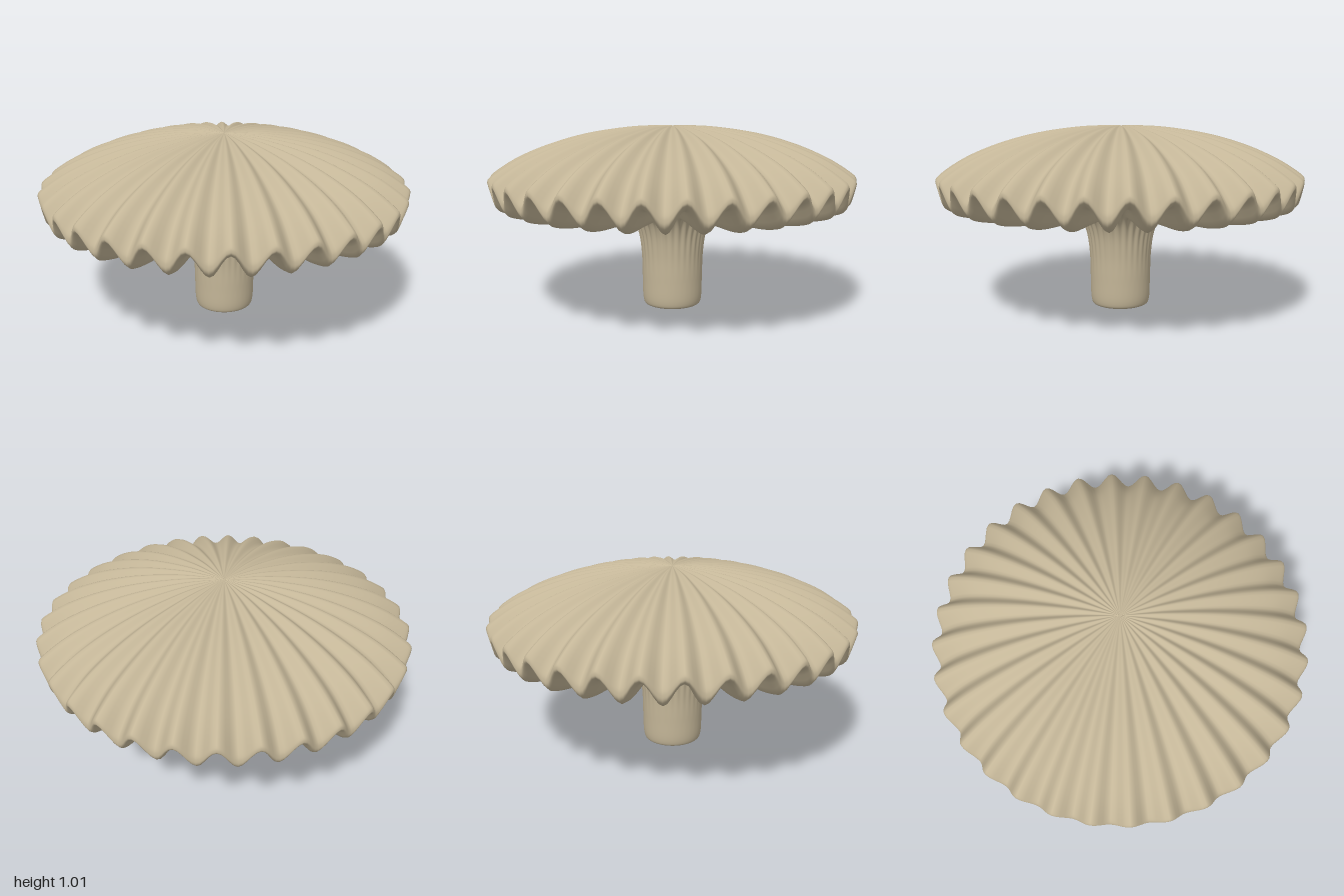
import * as THREE from 'three';
import { mergeVertices } from 'three/addons/utils/BufferGeometryUtils.js';

const RIBS = 32;
const SEGMENTS = RIBS * 10;
const STEPS = 6; // rows between profile points

// Profile from bottom to top: radius, height, vertical ripple, radial ripple
const profile = [
  // stem
  [0, 0, 0, 0], [0.07, 0, 0, 0], [0.14, 0.002, 0, 0], [0.163, 0.035, 0, 0],
  [0.168, 0.16, 0, 0], [0.172, 0.3, 0, -0.001], [0.188, 0.42, 0, -0.003],
  [0.225, 0.502, 0.003, -0.005],
  // underside
  [0.29, 0.543, 0.012, -0.004], [0.42, 0.564, 0.028, 0], [0.6, 0.586, 0.044, 0],
  [0.8, 0.601, 0.053, 0], [0.925, 0.622, 0.054, 0.005],
  // rounded rim
  [0.973, 0.645, 0.052, 0.011], [0.987, 0.675, 0.047, 0.013], [0.962, 0.717, 0.04, 0.012],
  // top
  [0.84, 0.81, 0.028, 0.004], [0.67, 0.89, 0.02, 0], [0.47, 0.952, 0.013, 0],
  [0.25, 0.992, 0.006, 0], [0.1, 1.003, 0.002, 0], [0, 1.004, 0, 0],
];

// Smooth lathe whose rows ripple around the axis
function rippledLathe() {
  const shape = new THREE.SplineCurve(profile.map(p => new THREE.Vector2(p[0], p[1])));
  const ripple = new THREE.SplineCurve(profile.map(p => new THREE.Vector2(p[2], p[3])));
  const rows = (profile.length - 1) * STEPS;
  const outline = shape.getPoints(rows).map(p => p.set(Math.max(p.x, 0), Math.max(p.y, 0)));
  const waves = ripple.getPoints(rows);
  const lathe = new THREE.LatheGeometry(outline, SEGMENTS);
  const pos = lathe.attributes.position;
  for (let i = 0; i < pos.count; i++) {
    const row = i % (rows + 1);
    const angle = Math.floor(i / (rows + 1)) / SEGMENTS * Math.PI * 2;
    const wave = Math.cos(angle * RIBS);
    const r = outline[row].x + waves[row].y * wave;
    pos.setXYZ(i, r * Math.sin(angle), outline[row].y + waves[row].x * wave, r * Math.cos(angle));
  }
  // Weld the seam so the normals run smoothly all the way round
  lathe.deleteAttribute('normal');
  lathe.deleteAttribute('uv');
  const welded = mergeVertices(lathe, 1e-5);
  welded.computeVertexNormals();
  return welded;
}

export function createModel() {
  const group = new THREE.Group();
  group.name = 'ribbedMushroomKnob';
  const sand = new THREE.MeshStandardMaterial({ color: 0xc4b698 });
  sand.name = 'sand';

  // Round stem flaring in one skin into the pleated cap
  const body = new THREE.Mesh(rippledLathe(), sand);
  body.name = 'stemAndPleatedCap';
  group.add(body);
  return group;
}
